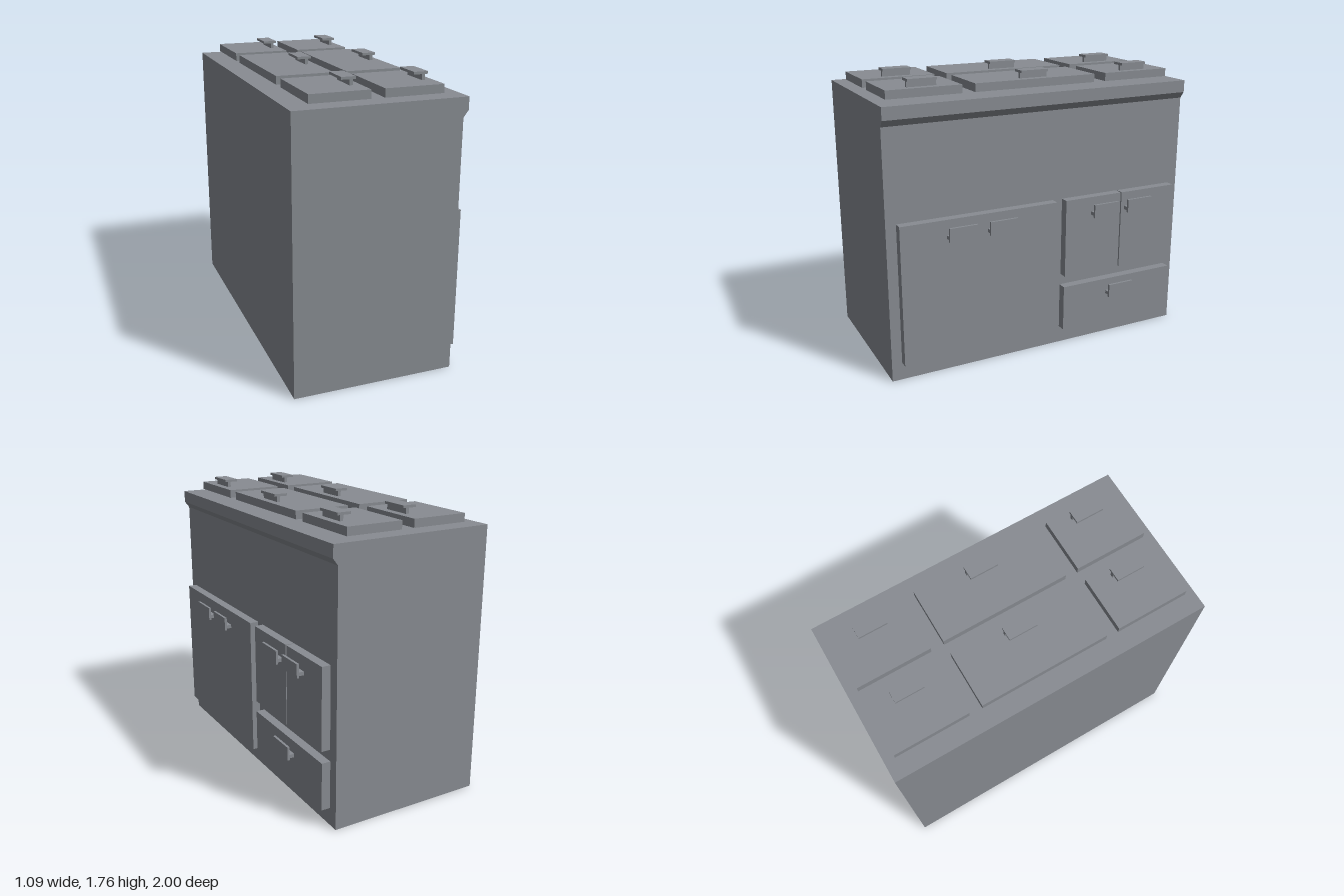
import * as THREE from 'three';

const grey = new THREE.MeshStandardMaterial({ color: 0x888c92, side: THREE.DoubleSide });
grey.name = 'cabinet grey';

// Box given by its minimum and maximum corners
function block(name, [x0, y0, z0], [x1, y1, z1]) {
  const mesh = new THREE.Mesh(new THREE.BoxGeometry(x1 - x0, y1 - y0, z1 - z0), grey);
  mesh.position.set((x0 + x1) / 2, (y0 + y1) / 2, (z0 + z1) / 2);
  mesh.name = name;
  return mesh;
}

// Cabinet shell: side profile with an overhanging lip, open underneath
function cabinetShell() {
  const profile = new THREE.Shape([
    [-0.545, 0], [0.44, 0], [0.44, 1.535], [0.47, 1.575], [0.47, 1.65], [-0.545, 1.65],
  ].map(([x, y]) => new THREE.Vector2(x, y)));
  const solid = new THREE.ExtrudeGeometry(profile, { depth: 2, bevelEnabled: false });
  solid.translate(0, 0, -1);
  const source = solid.toNonIndexed ? (solid.index ? solid.toNonIndexed() : solid) : solid;
  const p = source.attributes.position;
  const kept = [];
  for (let i = 0; i < p.count; i += 3) {
    const onFloor = [0, 1, 2].every((k) => Math.abs(p.getY(i + k)) < 1e-6);
    if (onFloor) continue;
    for (let k = 0; k < 3; k++) kept.push(p.getX(i + k), p.getY(i + k), p.getZ(i + k));
  }
  const geometry = new THREE.BufferGeometry();
  geometry.setAttribute('position', new THREE.Float32BufferAttribute(kept, 3));
  geometry.computeVertexNormals();
  const mesh = new THREE.Mesh(geometry, grey);
  mesh.name = 'cabinetShell';
  return mesh;
}

// T-shaped handle on a lid: upright stem and flat grip
function lidHandle(x, z) {
  const group = new THREE.Group();
  group.name = 'lidHandle';
  group.add(
    block('stem', [x + 0.048, 1.715, z - 0.089], [x + 0.068, 1.748, z + 0.089]),
    block('grip', [x, 1.748, z - 0.089], [x + 0.085, 1.763, z + 0.089]),
  );
  return group;
}

// T-shaped handle on a door: horizontal stem and upright grip
function doorHandle(y, z) {
  const group = new THREE.Group();
  group.name = 'doorHandle';
  group.add(
    block('stem', [0.495, y + 0.012, z - 0.089], [0.525, y + 0.034, z + 0.089]),
    block('grip', [0.525, y, z - 0.089], [0.54, y + 0.085, z + 0.089]),
  );
  return group;
}

export function createModel() {
  const model = new THREE.Group();
  model.name = 'cabinet';
  model.add(cabinetShell());

  // Two rows of three lids, floating slightly above the top
  for (const x of [-0.43, 0]) {
    for (const [z0, z1] of [[-0.937, -0.48], [-0.4, 0.4], [0.48, 0.937]]) {
      model.add(block('lid', [x, 1.665, z0], [x + 0.35, 1.715, z1]));
      model.add(lidHandle(x + 0.236, (z0 + z1) / 2));
    }
  }

  // Doors and drawer on the working side: z range, y range
  const panels = [
    ['wideDoor', -0.07, 0.937, 0.11, 0.976],
    ['smallDoor', -0.531, -0.135, 0.475, 0.976],
    ['smallDoor', -0.935, -0.539, 0.475, 0.976],
    ['drawer', -0.938, -0.13, 0.11, 0.404],
  ];
  for (const [name, z0, z1, y0, y1] of panels) {
    model.add(block(name, [0.44, y0, z0], [0.495, y1, z1]));
  }
  for (const [y, z] of [[0.85, 0.565], [0.85, 0.307], [0.85, -0.405], [0.85, -0.652], [0.29, -0.533]]) {
    model.add(doorHandle(y, z));
  }
  return model;
}
